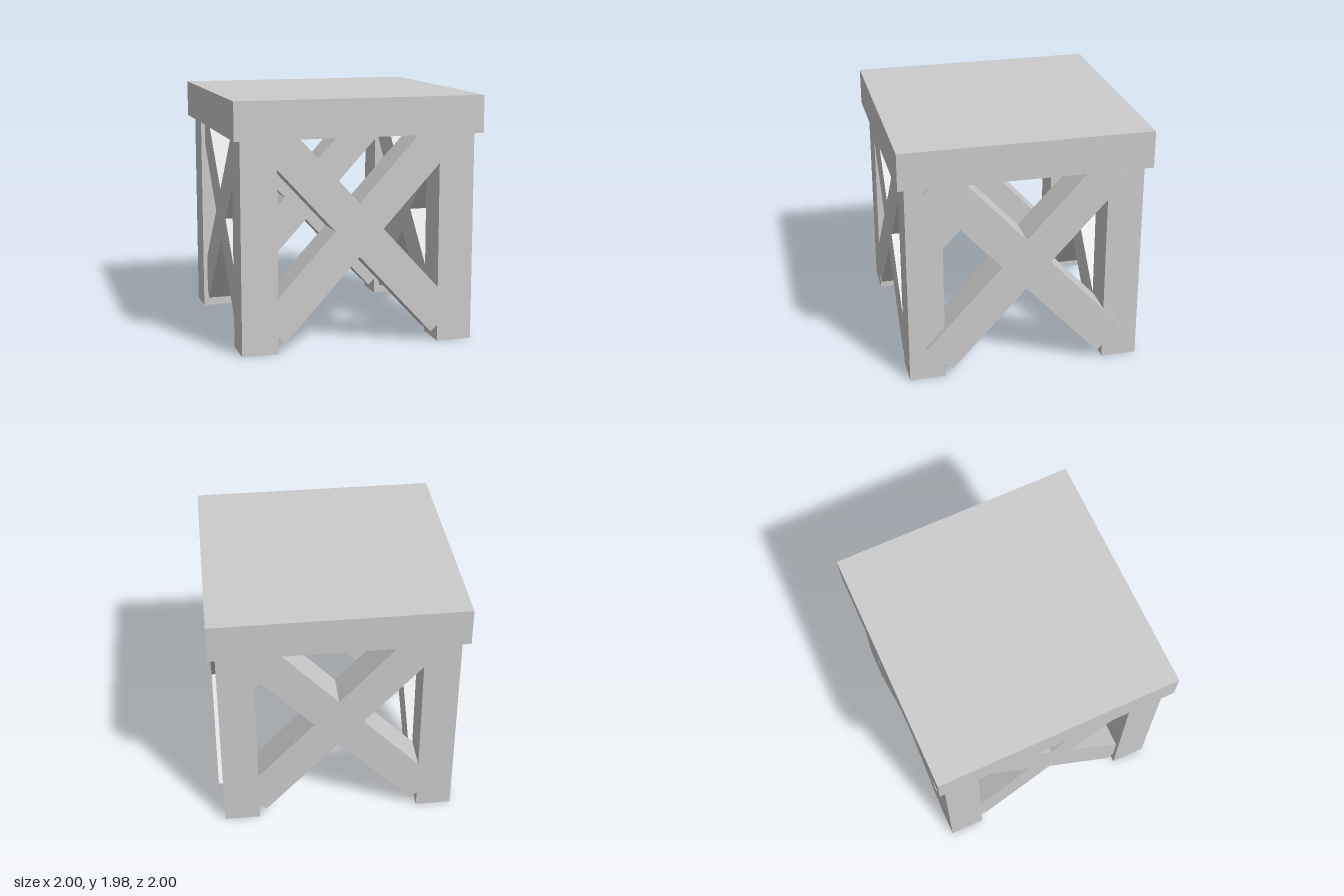
import * as THREE from 'three';

export function createModel() {
  const model = new THREE.Group();
  const material = new THREE.MeshStandardMaterial({ color: 0xcccccc, flatShading: true });
  const beam = 0.288; // square section shared by legs and braces
  const centre = 0.801; // leg distance from the middle

  function box(name, size, position, parent = model) {
    const mesh = new THREE.Mesh(new THREE.BoxGeometry(...size), material);
    mesh.name = name;
    mesh.position.set(...position);
    parent.add(mesh);
    return mesh;
  }

  // Thick square top
  box('top', [2, 0.3, 2], [0, 1.828, 0]);

  // Four corner legs
  for (const x of [-centre, centre])
    for (const z of [-centre, centre])
      box('leg', [beam, 1.678, beam], [x, 0.839, z]);

  // A pair of crossed beams lying in the xy plane
  function crossBrace(name) {
    const group = new THREE.Group();
    group.name = name;
    for (const side of [-1, 1])
      box('brace', [2.084, beam, beam], [0, 0, 0], group).rotation.z = side * 0.826;
    model.add(group);
    return group;
  }

  // Front and back crosses sit flush with the legs
  crossBrace('frontCross').position.set(0, 0.945, centre);
  crossBrace('backCross').position.set(0, 0.945, -centre);

  // Side crosses are both shifted slightly towards +x
  for (const [name, x] of [['leftCross', centre], ['rightCross', -centre]]) {
    const cross = crossBrace(name);
    cross.position.set(x + 0.034, 0.945, 0);
    cross.rotation.y = Math.PI / 2;
  }

  return model;
}
